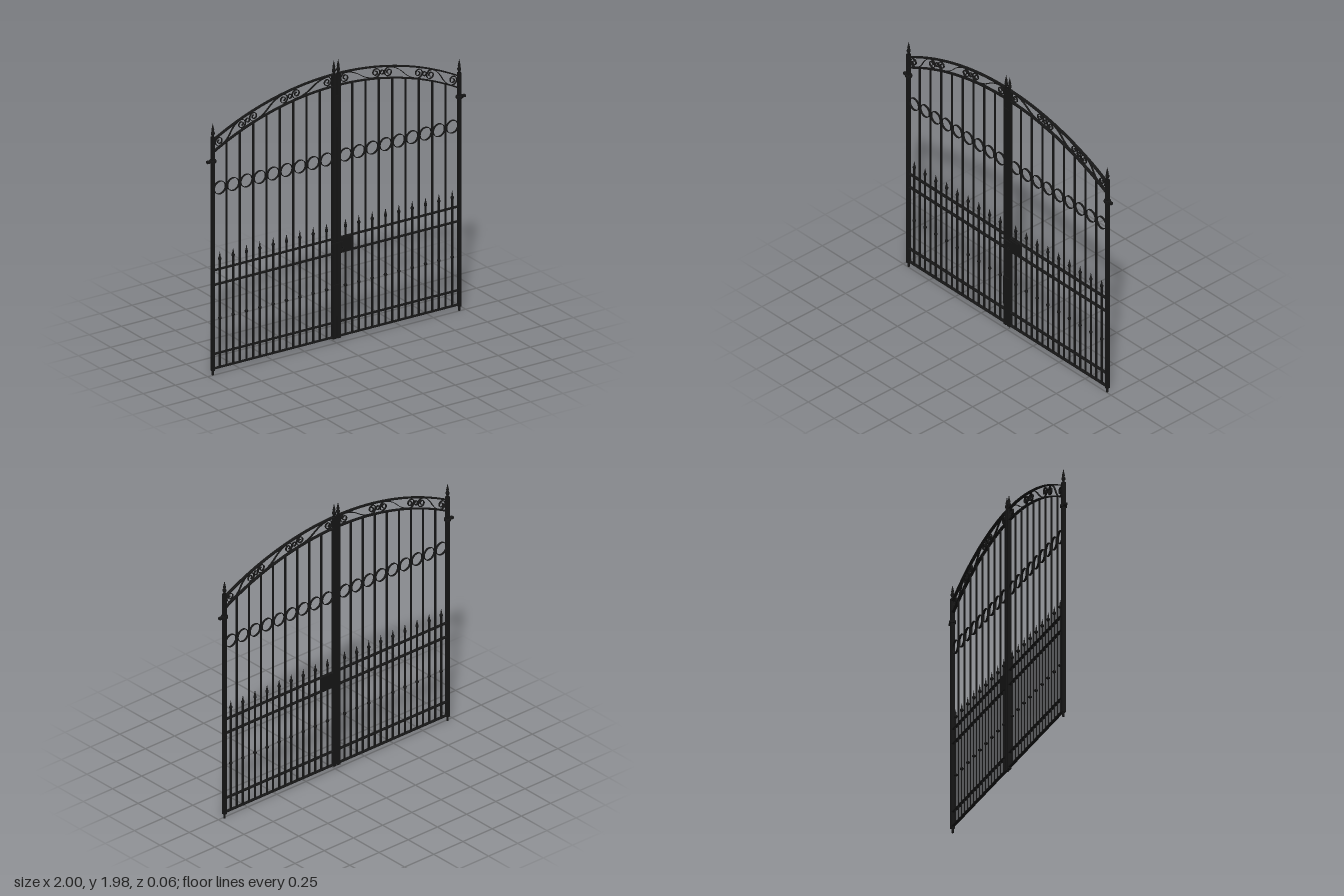
import * as THREE from 'three';

const Z = -0.008; // plane of the gate

export function createModel() {
  const gate = new THREE.Group();
  gate.name = 'doubleGate';
  const iron = new THREE.MeshStandardMaterial({ color: 0x161616 });
  iron.name = 'blackIron';

  const add = (parent, name, geo, x = 0, y = 0, z = Z) => {
    const m = new THREE.Mesh(geo, iron);
    m.name = name;
    m.position.set(x, y, z);
    parent.add(m);
    return m;
  };
  const box = (parent, name, x0, x1, y0, y1, depth, z = Z) =>
    add(parent, name, new THREE.BoxGeometry(Math.abs(x1 - x0), y1 - y0, depth), (x0 + x1) / 2, (y0 + y1) / 2, z);
  const lathe = (pts, seg = 12) => new THREE.LatheGeometry(pts.map(p => new THREE.Vector2(...p)), seg);
  const extrude = (shape, depth) => {
    const g = new THREE.ExtrudeGeometry(shape, { depth, bevelEnabled: false, curveSegments: 32 });
    return g.translate(0, 0, -depth / 2);
  };

  // Flat iron strip following a line in the gate plane
  const strip = (pts, thick, depth) => {
    const a = [], b = [];
    pts.forEach((p, i) => {
      const q = pts[Math.max(i - 1, 0)], r = pts[Math.min(i + 1, pts.length - 1)];
      const n = new THREE.Vector2(q.y - r.y, r.x - q.x).normalize().multiplyScalar(thick / 2);
      a.push(p.clone().add(n));
      b.push(p.clone().sub(n));
    });
    return extrude(new THREE.Shape([...a, ...b.reverse()]), depth);
  };
  const ring = (r, thick, depth) => {
    const s = new THREE.Shape().absarc(0, 0, r + thick / 2, 0, Math.PI * 2);
    s.holes.push(new THREE.Path().absarc(0, 0, r - thick / 2, 0, Math.PI * 2, true));
    return extrude(s, depth);
  };

  // Height of the arch rails
  const arch = (x, top) => top - (2 - Math.sqrt(4 - x * x));
  const TOP = 1.883, LOW = 1.8;

  // S-scroll: a spiral at each end, the second being the first turned half round
  const scroll = (s, xa, xb) => {
    const mid = (TOP + LOW) / 2, r = 0.035;
    const A = new THREE.Vector2(xa, arch(xa, mid)), B = new THREE.Vector2(xb, arch(xb, mid));
    const L = A.distanceTo(B), half = [];
    for (let i = 0; i <= 44; i++) {
      const t = 1 - i / 44, ang = Math.PI * (0.5 + 3.1 * t), rad = r - 0.027 * t;
      half.push(new THREE.Vector2(-L / 2 + Math.cos(ang) * rad, Math.sin(ang) * rad));
    }
    const link = new THREE.CubicBezierCurve(new THREE.Vector2(-L / 2, r), new THREE.Vector2(-L * 0.3, r),
      new THREE.Vector2(-L * 0.15, r * 0.6), new THREE.Vector2(0, 0));
    half.push(...link.getPoints(10).slice(1));
    const rest = half.slice(0, -1).reverse().map(p => p.clone().negate());
    const ang = B.clone().sub(A).angle(), c = A.clone().add(B).multiplyScalar(0.5);
    const pts = [...half, ...rest].map(p => {
      const q = p.clone().rotateAround(new THREE.Vector2(), ang).add(c);
      q.x *= s;
      return q;
    });
    return strip(pts, 0.004, 0.012);
  };

  const postFinial = lathe([[0, 0], [0.012, 0], [0.007, 0.012], [0.013, 0.024], [0.013, 0.034], [0.007, 0.044],
    [0.010, 0.052], [0.005, 0.075], [0, 0.1]]);
  const spear = lathe([[0, -0.014], [0.007, -0.012], [0.011, -0.004], [0.011, 0.004], [0.006, 0.012], [0.006, 0.018],
    [0.003, 0.035], [0, 0.05]], 10);
  const knot = new THREE.SphereGeometry(0.012, 10, 8);

  for (const s of [1, -1]) {
    const leaf = new THREE.Group();
    leaf.name = s > 0 ? 'leftLeaf' : 'rightLeaf';
    gate.add(leaf);

    // Posts with finials, foot pin and hinge
    box(leaf, 'outerPost', s * 0.944, s * 0.966, 0.03, 1.665, 0.024);
    add(leaf, 'outerFinial', postFinial, s * 0.955, 1.662);
    add(leaf, 'footPin', new THREE.CylinderGeometry(0.008, 0.008, 0.03, 12), s * 0.955, 0.015);
    add(leaf, 'hingeCollar', new THREE.CylinderGeometry(0.023, 0.023, 0.016, 20), s * 0.955, 1.496);
    box(leaf, 'hingePin', s * 0.955, s, 1.488, 1.504, 0.02);
    box(leaf, 'innerPost', s * 0.005, s * 0.029, 0.032, 1.885, 0.024);
    add(leaf, 'innerFinial', postFinial, s * 0.017, 1.882);

    // Cross rails
    for (const y of [0.043, 0.144, 0.627, 0.73])
      box(leaf, 'crossRail', s * 0.025, s * 0.95, y - 0.0035, y + 0.0035, 0.021);

    // Arched rails
    for (const top of [TOP, LOW]) {
      const pts = [];
      for (let i = 0; i <= 28; i++) {
        const x = 0.02 + 0.93 * i / 28;
        pts.push(new THREE.Vector2(s * x, arch(x, top)));
      }
      add(leaf, 'archRail', strip(pts, 0.007, 0.021));
    }

    // Scrollwork in the arch
    for (const [a, b] of [[0.068, 0.308], [0.407, 0.638], [0.732, 0.905]]) add(leaf, 'scroll', scroll(s, a, b));
    for (const x of [0.358, 0.685])
      add(leaf, 'scrollRing', ring(0.014, 0.004, 0.012), s * x, arch(x, (TOP + LOW) / 2));

    // Short spear bars, rings above them, and tall bars between
    for (let i = 0; i < 9; i++) {
      const x = 0.0735 + i * 0.1034;
      box(leaf, 'shortBar', s * x - 0.006, s * x + 0.006, 0.043, 0.797, 0.009);
      add(leaf, 'spearHead', spear, s * x, 0.803);
      add(leaf, 'barKnot', knot, s * x, 0.387);
      add(leaf, 'ring', ring(0.044, 0.004, 0.014), s * x, 1.299);
      if (i < 8) {
        const t = x + 0.0517;
        box(leaf, 'tallBar', s * t - 0.006, s * t + 0.006, 0.043, arch(t, LOW), 0.009);
      }
    }
  }

  // Cover plates over the meeting posts
  box(gate, 'upperCoverPlate', -0.029, 0.024, 1.517, 1.733, 0.006, 0.003);
  box(gate, 'lowerCoverPlate', -0.029, 0.024, 0.192, 0.412, 0.006, 0.006);

  // Lock case, bolt and handle
  box(gate, 'lockCase', 0.02, 0.122, 0.628, 0.732, 0.022);
  box(gate, 'lockPlate', 0.025, 0.112, 0.636, 0.724, 0.006, 0.005);
  box(gate, 'bolt', -0.048, 0.05, 0.7, 0.706, 0.006, 0.008);
  const handle = add(gate, 'handle', new THREE.TorusGeometry(0.011, 0.003, 8, 20), 0.036, 0.66, 0.018);
  handle.rotation.y = Math.PI / 2;
  box(gate, 'handleStem', 0.033, 0.039, 0.668, 0.704, 0.006, 0.011);

  return gate;
}
